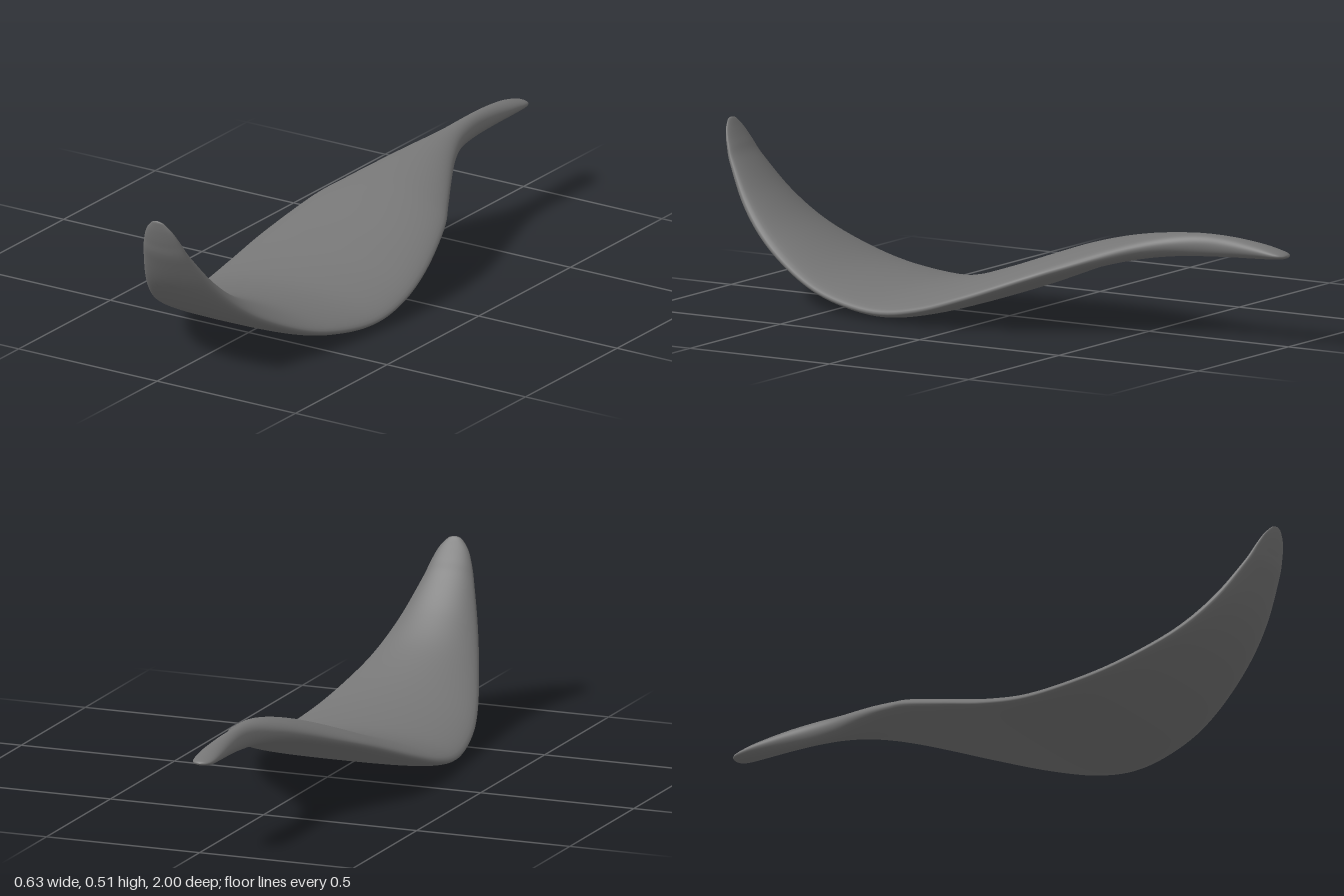
import * as THREE from 'three';

// Stations from stalk to tip: [z, centre height, half width, half thickness]
const STATIONS = [
  [-1, 0.276, 0, 0], [-0.992, 0.277, 0.022, 0.007], [-0.965, 0.279, 0.034, 0.014],
  [-0.9, 0.284, 0.037, 0.023], [-0.8, 0.287, 0.033, 0.031], [-0.7, 0.285, 0.032, 0.035],
  [-0.6, 0.277, 0.046, 0.036], [-0.5, 0.263, 0.084, 0.037], [-0.4, 0.242, 0.135, 0.038],
  [-0.3, 0.214, 0.189, 0.039], [-0.2, 0.179, 0.24, 0.04], [-0.02, 0.113, 0.293, 0.042],
  [0.14, 0.064, 0.314, 0.043], [0.29, 0.044, 0.309, 0.043], [0.46, 0.064, 0.28, 0.041],
  [0.6, 0.108, 0.238, 0.04], [0.75, 0.188, 0.178, 0.04], [0.86, 0.28, 0.129, 0.037],
  [0.94, 0.385, 0.086, 0.026], [0.968, 0.438, 0.067, 0.019], [0.986, 0.479, 0.048, 0.012],
  [0.996, 0.506, 0.025, 0.006], [0.999, 0.513, 0.012, 0.003], [1, 0.515, 0, 0],
];
const RINGS = 138, SIDES = 48;

// Sweeps an oval section along the curved midline
function leafGeometry() {
  const spine = new THREE.CatmullRomCurve3(
    STATIONS.map(([z, y]) => new THREE.Vector3(0, y, z)), false, 'catmullrom');
  const size = new THREE.CatmullRomCurve3(
    STATIONS.map(([, , w, t]) => new THREE.Vector3(w, t, 0)), false, 'catmullrom');
  const positions = [], indices = [];
  for (let i = 0; i <= RINGS; i++) {
    const u = i / RINGS;
    const p = spine.getPoint(u), s = size.getPoint(u), tan = spine.getTangent(u);
    // The blade is domed above and flatter below, so its rim sits low
    const droop = 0.4 * THREE.MathUtils.smoothstep(s.x, 0.04, 0.2);
    for (let j = 0; j < SIDES; j++) {
      const a = (j / SIDES) * Math.PI * 2;
      const h = s.y * (Math.sin(a) - droop * Math.cos(a) ** 2);
      positions.push(s.x * Math.cos(a), p.y + h * tan.z, p.z - h * tan.y);
      if (i === RINGS) continue;
      const a0 = i * SIDES + j, b0 = i * SIDES + (j + 1) % SIDES;
      // The first and last rings close to a point
      if (i > 0) indices.push(a0, b0, a0 + SIDES);
      if (i < RINGS - 1) indices.push(b0, b0 + SIDES, a0 + SIDES);
    }
  }
  const geometry = new THREE.BufferGeometry();
  geometry.setAttribute('position', new THREE.Float32BufferAttribute(positions, 3));
  geometry.setIndex(indices);
  geometry.computeVertexNormals();
  return geometry;
}

export function createModel() {
  const group = new THREE.Group();
  group.name = 'leaf';
  const blade = new THREE.Mesh(leafGeometry(), new THREE.MeshStandardMaterial({ color: 0x757575 }));
  blade.name = 'bladeAndStalk';
  group.add(blade);
  return group;
}
